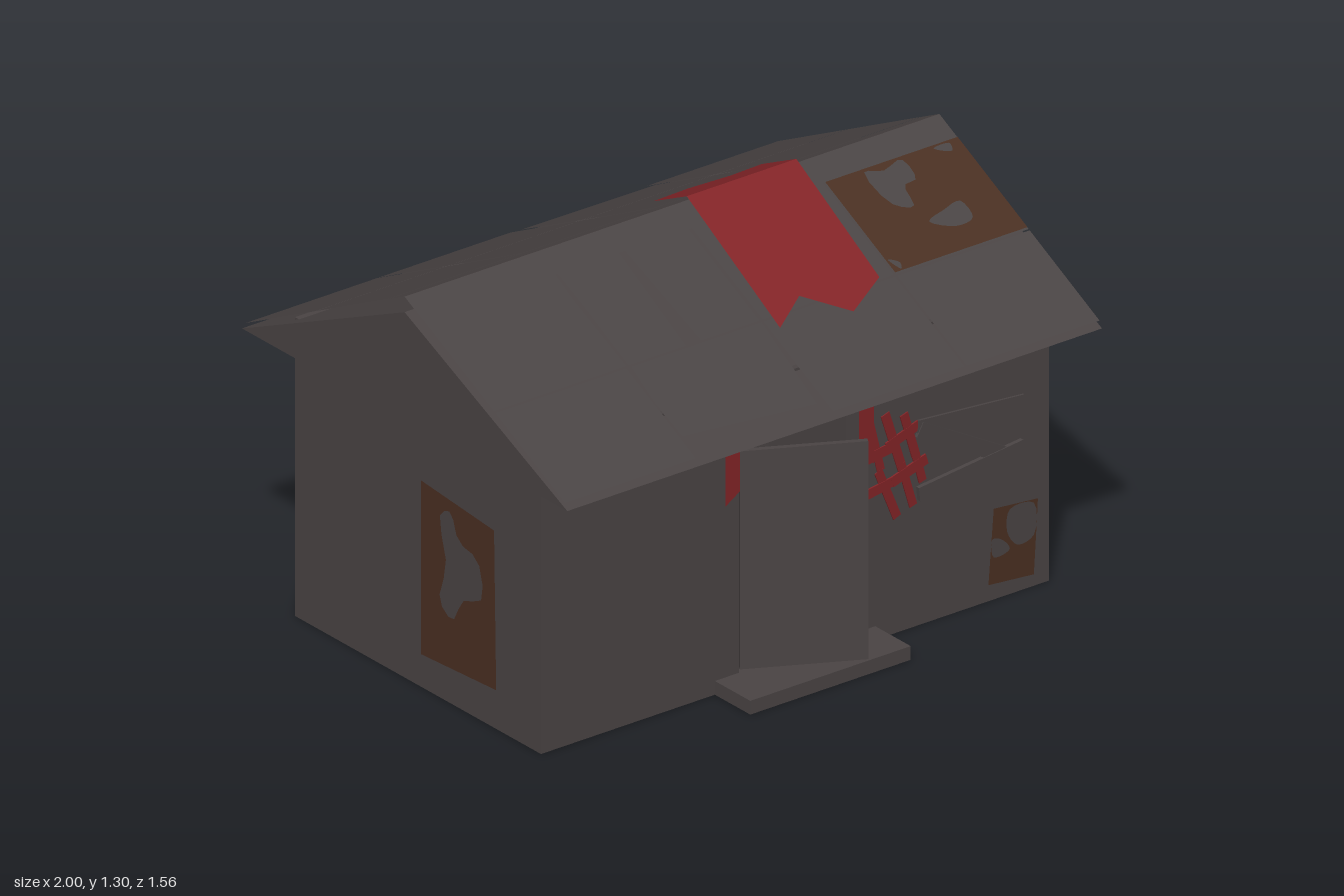
import * as THREE from 'three';

const timber = new THREE.MeshStandardMaterial({ color: 0x4a4444, side: THREE.DoubleSide });
timber.name = 'weathered grey';
const cloth = new THREE.MeshStandardMaterial({ color: 0x832427, side: THREE.DoubleSide });
cloth.name = 'faded red';
const rust = new THREE.MeshStandardMaterial({ color: 0x4a2f22, side: THREE.DoubleSide });
rust.name = 'rust brown';

const roofY = (z) => 1.29 - 0.5 * Math.abs(z);

function add(parent, name, geometry, material, x = 0, y = 0, z = 0) {
  const mesh = new THREE.Mesh(geometry, material);
  mesh.name = name;
  mesh.position.set(x, y, z);
  parent.add(mesh);
  return mesh;
}

const polygon = (points) => new THREE.Shape(points.map(([x, y]) => new THREE.Vector2(x, y)));

// Rounded blob used for worn-away spots
function blob(points) {
  const curve = new THREE.CatmullRomCurve3(points.map(([x, y]) => new THREE.Vector3(x, y, 0)), true);
  return new THREE.Path(curve.getPoints(20).slice(0, -1).map((p) => new THREE.Vector2(p.x, p.y)));
}

// Flat outline with optional worn holes
function sheet(points, holes = []) {
  const shape = polygon(points);
  shape.holes = holes.map(blob);
  return new THREE.ShapeGeometry(shape);
}

// Lays an x/z outline onto the sloping roof
function onRoof(geometry, lift = 0) {
  const p = geometry.attributes.position;
  for (let i = 0; i < p.count; i++) {
    const z = p.getY(i);
    p.setXYZ(i, p.getX(i), roofY(z) + lift, z);
  }
  const flat = geometry.index ? geometry.toNonIndexed() : geometry;
  flat.computeVertexNormals();
  return flat;
}

// Thin straight board between two points of the front wall
function board(parent, name, material, [x1, y1, x2, y2, w], depth) {
  const length = Math.hypot(x2 - x1, y2 - y1);
  const mesh = add(parent, name, new THREE.BoxGeometry(length, w, depth), material,
    (x1 + x2) / 2, (y1 + y2) / 2, 0.59 + depth / 2);
  mesh.rotation.z = Math.atan2(y2 - y1, x2 - x1);
}

function buildHouse(g) {
  // Front half of the walls, with the doorway recess cut through it
  const front = polygon([[-0.95, 0], [0.95, 0], [0.95, 0.98], [-0.95, 0.98]]);
  front.holes.push(new THREE.Path([[-0.21, 0.045], [-0.21, 0.78], [0.19, 0.78], [0.19, 0.045]]
    .map(([x, y]) => new THREE.Vector2(x, y))));
  add(g, 'frontWalls', new THREE.ExtrudeGeometry(front, { depth: 0.37, bevelEnabled: false }), timber, 0, 0, 0.22);
  add(g, 'backWalls', new THREE.BoxGeometry(1.9, 0.98, 0.81), timber, 0, 0.49, -0.185);

  // Solid gable under the shingles
  const gable = polygon([[-0.78, 0.885], [0.78, 0.885], [0, 1.238]]);
  const prism = new THREE.ExtrudeGeometry(gable, { depth: 2, bevelEnabled: false });
  prism.translate(0, 0, -1).rotateY(Math.PI / 2);
  add(g, 'gableRoof', prism, timber);

  // Doorstep
  add(g, 'doorstep', new THREE.BoxGeometry(0.6, 0.045, 0.17), timber, 0, 0.0225, 0.675);

  // Door standing ajar
  const hinge = new THREE.Group();
  hinge.name = 'door';
  hinge.position.set(-0.21, 0.422, 0.59);
  hinge.rotation.y = -0.48;
  add(hinge, 'doorPanel', new THREE.BoxGeometry(0.385, 0.715, 0.018), timber, 0.1925, 0, 0.009);
  g.add(hinge);
}

function buildRoof(g) {
  const roof = new THREE.Group();
  roof.name = 'shingles';
  g.add(roof);

  // Front shingles: cracked, with wedge-shaped gaps
  const frontPlates = [
    [[-1, 0.085], [-0.503, 0.085], [-0.508, 0.18], [-0.503, 0.428], [-1, 0.428]],
    [[-0.497, 0.085], [-0.265, 0.085], [-0.28, 0.428], [-0.497, 0.428], [-0.494, 0.2]],
    [[-0.245, 0.085], [-0.005, 0.085], [-0.005, 0.428], [-0.225, 0.428]],
    [[0.005, 0.085], [0.497, 0.085], [0.497, 0.428], [0.005, 0.428]],
    [[0.503, 0.085], [1, 0.085], [1, 0.428], [0.503, 0.428]],
    [[-1, 0.433], [-0.508, 0.433], [-0.508, 0.768], [-1, 0.768]],
    [[-0.492, 0.433], [-0.002, 0.433], [-0.025, 0.73], [-0.5, 0.69], [-0.505, 0.56]],
    [[0.003, 0.433], [0.497, 0.433], [0.497, 0.768], [0.003, 0.768]],
    [[0.503, 0.433], [1, 0.433], [1, 0.768], [0.503, 0.768]],
  ];
  // Back shingles
  const backPlates = [];
  for (let c = 0; c < 4; c++) {
    const a = -1 + c * 0.5 + 0.004, b = a + 0.492;
    backPlates.push([[a, -0.085], [b, -0.085], [b, -0.434], [a, -0.434]]);
    const slip = c === 2;
    backPlates.push([[a, -0.438], [b, -0.438], [b, slip ? -0.715 : -0.768], [a + (slip ? 0.015 : 0), slip ? -0.745 : -0.768]]);
  }
  for (const p of [...frontPlates, ...backPlates]) add(roof, 'shingle', onRoof(sheet(p)), timber);

  // Ridge cap
  for (const s of [-1, 1]) {
    const cap = onRoof(sheet([[-1, 0], [1, 0], [1, 0.088 * s], [-1, 0.088 * s]]), 0.001);
    add(roof, 'ridgeCap', cap, timber, 0, -0.002, 0);
  }

  // Rusty sheet with worn spots
  add(roof, 'rustySheet', onRoof(sheet([[0.503, 0.09], [0.998, 0.09], [0.998, 0.425], [0.503, 0.425]], [
    [[0.64, 0.1], [0.7, 0.115], [0.78, 0.1], [0.78, 0.17], [0.73, 0.18], [0.71, 0.25], [0.65, 0.22]],
    [[0.72, 0.31], [0.79, 0.29], [0.86, 0.28], [0.86, 0.34], [0.79, 0.35]],
    [[0.9, 0.1], [0.96, 0.1], [0.95, 0.125]],
    [[0.51, 0.38], [0.54, 0.4], [0.53, 0.42]],
  ]), 0.004), rust);

  // Torn red cloth draped over the ridge
  const drapes = [
    [[0.055, 0], [0.465, 0], [0.44, 0.43], [0.285, 0.505], [0.16, 0.405], [0.03, 0.48]],
    [[0.055, 0], [0.07, -0.18], [0.22, -0.205], [0.345, -0.16], [0.48, -0.185], [0.465, 0]],
  ];
  for (const d of drapes) add(roof, 'roofCloth', onRoof(sheet(d), 0.012), cloth);
}

function buildDecor(g) {
  // Cloth swag over the door
  const swag = sheet([[-0.28, 0.875], [-0.23, 0.878], [-0.1, 0.83], [0.09, 0.825], [0.22, 0.87], [0.275, 0.875],
    [0.275, 0.595], [0.22, 0.68], [0.22, 0.8], [0.18, 0.785], [-0.18, 0.785], [-0.225, 0.8], [-0.225, 0.655], [-0.28, 0.62]]);
  add(g, 'doorSwag', swag, cloth, 0, 0, 0.615);

  // Loose boards nailed to the wall
  const boards = [
    [0.455, 0.65, 0.85, 0.618, 0.05],
    [0.46, 0.645, 0.835, 0.435, 0.05],
    [0.455, 0.435, 0.845, 0.477, 0.045],
  ];
  boards.forEach((b, i) => board(g, 'wallBoard', timber, b, 0.008 + i * 0.003));

  // Crossed paint strokes
  const strokes = [
    [0.28, 0.71, 0.32, 0.55, 0.028], [0.31, 0.55, 0.38, 0.38, 0.03],
    [0.335, 0.73, 0.4, 0.53, 0.032], [0.395, 0.55, 0.44, 0.4, 0.028],
    [0.405, 0.71, 0.45, 0.56, 0.03], [0.445, 0.58, 0.475, 0.47, 0.028],
    [0.25, 0.6, 0.36, 0.615, 0.035], [0.34, 0.62, 0.46, 0.66, 0.032],
    [0.26, 0.485, 0.38, 0.505, 0.032], [0.36, 0.5, 0.49, 0.54, 0.035],
  ];
  strokes.forEach((s, i) => board(g, 'paintStroke', cloth, s, 0.003 + i * 0.0003));

  // Rusty patch at the foot of the front wall
  add(g, 'frontRustPatch', sheet([[0.72, 0.055], [0.89, 0.04], [0.905, 0.285], [0.74, 0.3]], [
    [[0.8, 0.28], [0.89, 0.275], [0.89, 0.17], [0.83, 0.155], [0.79, 0.21]],
    [[0.735, 0.2], [0.77, 0.19], [0.8, 0.15], [0.74, 0.14]],
  ]), rust, 0, 0, 0.594);

  // Rusty patch on the right-hand wall
  const side = add(g, 'sideRustPatch', sheet([[0.02, 0.11], [0.38, 0.13], [0.37, 0.65], [0.02, 0.68]], [
    [[0.11, 0.6], [0.16, 0.63], [0.2, 0.55], [0.29, 0.52], [0.31, 0.4], [0.22, 0.36], [0.17, 0.28], [0.11, 0.32], [0.14, 0.45]],
  ]), rust, -0.954, 0, 0);
  side.rotation.y = -Math.PI / 2;
}

export function createModel() {
  const group = new THREE.Group();
  group.name = 'shack';
  buildHouse(group);
  buildRoof(group);
  buildDecor(group);
  return group;
}
